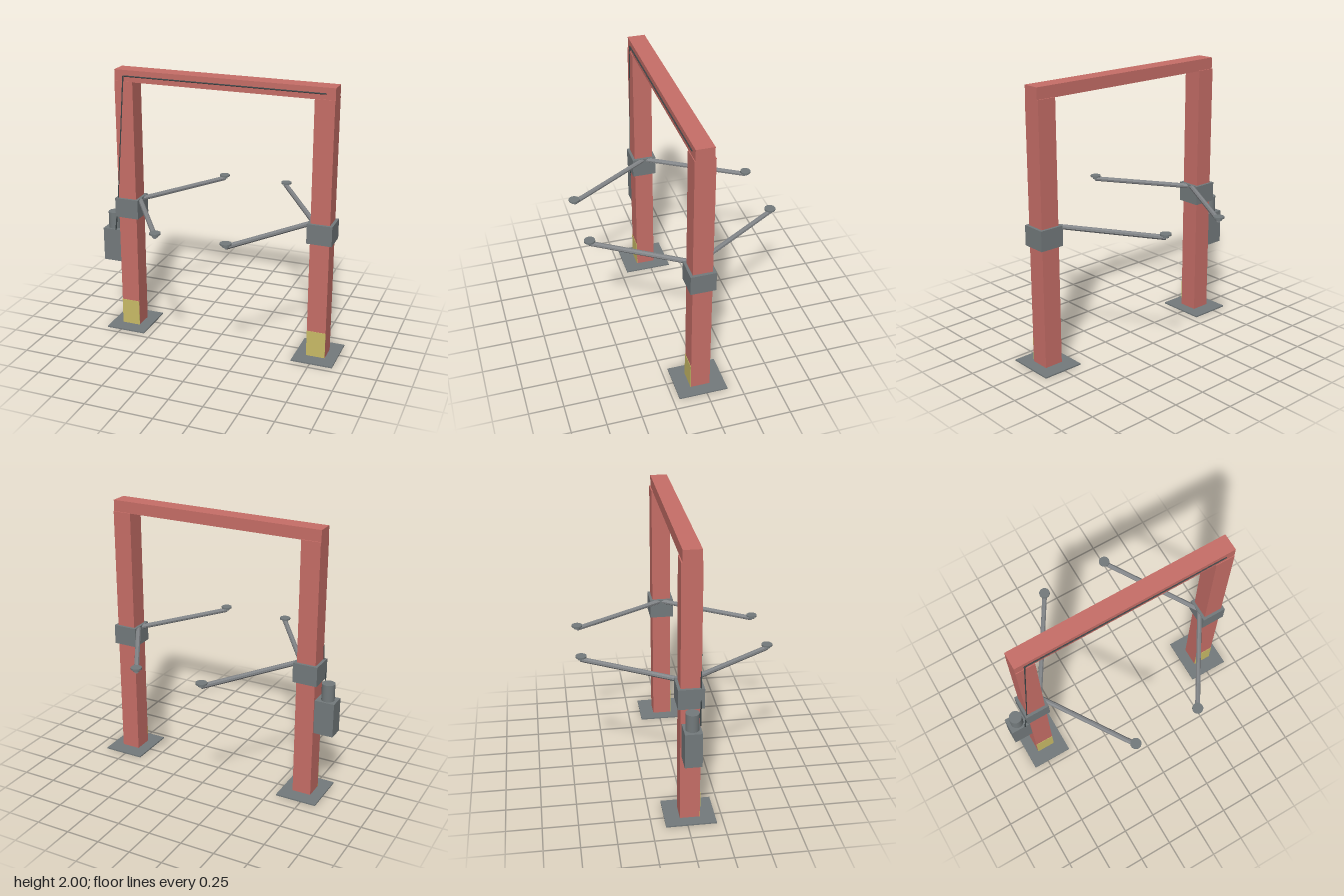
import * as THREE from 'three';

const mat = (name, color, extra = {}) => {
  const m = new THREE.MeshStandardMaterial({ color, ...extra });
  m.name = name;
  return m;
};

export function createModel() {
  const red = mat('red paint', 0xc66e67);
  const yellow = mat('yellow marking', 0xc9bb67);
  const grey = mat('grey steel', 0x737a7c);
  const armSteel = mat('arm steel', 0x84878a, { flatShading: true });
  const dark = mat('dark cable', 0x3e4648);

  const lift = new THREE.Group();
  lift.name = 'twoPostLift';

  const add = (name, geometry, material, x, y, z) => {
    const mesh = new THREE.Mesh(geometry, material);
    mesh.name = name;
    mesh.position.set(x, y, z);
    lift.add(mesh);
    return mesh;
  };
  // box given by its limits
  const box = (name, material, [x0, x1], [y0, y1], [z0, z1]) =>
    add(name, new THREE.BoxGeometry(x1 - x0, y1 - y0, z1 - z0), material,
      (x0 + x1) / 2, (y0 + y1) / 2, (z0 + z1) / 2);
  // round bar between two points
  const rod = (name, material, a, b, radius, sides) => {
    const dir = b.clone().sub(a);
    const mid = a.clone().add(b).multiplyScalar(0.5);
    const mesh = add(name, new THREE.CylinderGeometry(radius, radius, dir.length(), sides),
      material, mid.x, mid.y, mid.z);
    mesh.quaternion.setFromUnitVectors(new THREE.Vector3(0, 1, 0), dir.normalize());
  };
  const v = (x, y, z) => new THREE.Vector3(x, y, z);

  const midX = 0.027, midZ = 0.025;
  for (const side of [-1, 1]) {
    const label = side < 0 ? 'right' : 'left';
    const cx = midX + side * 0.737;

    // post with its floor plate, marking and sliding carriage
    box(label + 'BasePlate', grey, [cx - 0.153, cx + 0.153], [0, 0.01], [midZ - 0.178, midZ + 0.178]);
    box(label + 'Post', red, [cx - 0.07, cx + 0.07], [0.01, 1.918], [-0.045, 0.095]);
    box(label + 'PostMarking', yellow, [cx - 0.07, cx + 0.07], [0.01, 0.207], [0.0945, 0.098]);
    box(label + 'Carriage', grey, [cx - 0.091, cx + 0.091], [0.89, 1.036], [midZ - 0.09, midZ + 0.09]);

    // swing arms with round lifting pads
    for (const end of [-1, 1]) {
      const name = label + (end < 0 ? 'Rear' : 'Front');
      const padX = midX + side * 0.254, padZ = end * 0.66;
      rod(name + 'Arm', armSteel, v(midX + side * 0.67, 1.018, 0.02),
        v(padX, 1.018, padZ), 0.018, 8);
      add(name + 'PadStem', new THREE.CylinderGeometry(0.022, 0.022, 0.022, 20), grey, padX, 1.029, padZ);
      add(name + 'Pad', new THREE.CylinderGeometry(0.039, 0.039, 0.012, 28), grey, padX, 1.041, padZ);
    }
  }

  // overhead beam
  box('topBeam', red, [-0.78, 0.835], [1.915, 2], [-0.036, 0.09]);

  // power unit on the outer side of the right post
  box('pumpHousing', grey, [-0.925, -0.78], [0.515, 0.77], [-0.036, 0.084]);
  add('motor', new THREE.CylinderGeometry(0.047, 0.047, 0.127, 28), grey, -0.855, 0.832, 0.024);

  // hydraulic line from the pump up the post and across the beam
  const points = [v(-0.82, 0.77, 0.085), v(-0.785, 1.04, 0.092), v(-0.712, 1.957, 0.094), v(0.77, 1.957, 0.092)];
  for (let i = 0; i < 3; i++) {
    rod('hydraulicLine' + (i + 1), dark, points[i], points[i + 1], 0.005, 8);
  }
  return lift;
}
